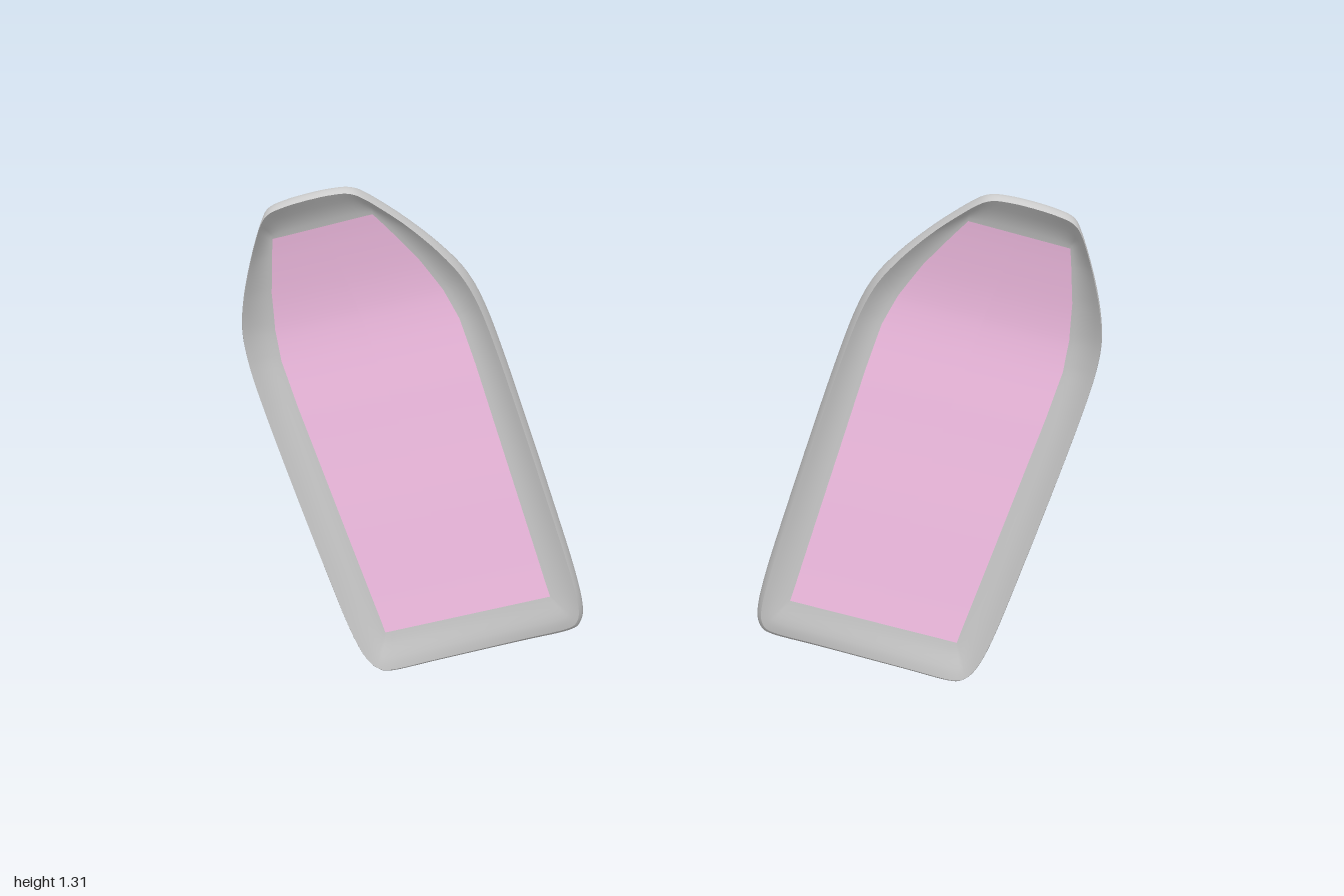
import * as THREE from 'three';

const LEAN = THREE.MathUtils.degToRad(15);
const CENTER_U = 0.445;
const PER_SEGMENT = 6;

// Right half, bottom to top: [rim half width, rim v, pad half width, pad v], v runs along the panel
const profile = [
  [0, 0.183, 0, 0.295], [0.12, 0.183, 0.1, 0.295], [0.23, 0.183, 0.2, 0.295], [0.266, 0.2, 0.216, 0.295],
  [0.286, 0.25, 0.216, 0.33], [0.295, 0.36, 0.217, 0.4], [0.297, 0.56, 0.219, 0.57], [0.297, 0.76, 0.221, 0.76],
  [0.295, 0.95, 0.223, 0.94], [0.289, 1.08, 0.221, 1.06], [0.273, 1.17, 0.207, 1.14], [0.238, 1.25, 0.178, 1.235],
  [0.187, 1.335, 0.14, 1.325], [0.13, 1.415, 0.12, 1.37], [0.097, 1.448, 0.085, 1.37], [0.05, 1.458, 0.045, 1.37],
  [0, 1.46, 0, 1.37],
];
const curve = (pts) => new THREE.SplineCurve(pts.map(([a, b]) => new THREE.Vector2(a, b)));
const mirrored = (half) => [...half, ...half.slice(1, -1).reverse().map((p) => new THREE.Vector2(-p.x, p.y))];

// Smooth rim outline and straight-sided pad outline with matching point counts
const rimOutline = mirrored(curve(profile).getPoints((profile.length - 1) * PER_SEGMENT));
const padOutline = mirrored(profile.flatMap(([, , w, v], i) => {
  const next = profile[i + 1];
  if (!next) return [new THREE.Vector2(w, v)];
  return Array.from({ length: PER_SEGMENT }, (_, k) =>
    new THREE.Vector2(w, v).lerp(new THREE.Vector2(next[2], next[3]), k / PER_SEGMENT));
}));

// Depth of the front rim and the back face along the panel: [v, z]
const heightAlong = (pts) => {
  const samples = curve(pts).getPoints(160);
  return (v) => {
    const i = samples.findIndex((p) => p.x >= v);
    if (i === 0) return samples[0].y;
    if (i < 0) return samples[samples.length - 1].y;
    const a = samples[i - 1], b = samples[i];
    return THREE.MathUtils.mapLinear(v, a.x, b.x, a.y, b.y);
  };
};
const rimZ = heightAlong([[0.18, -0.036], [0.3, -0.014], [0.5, -0.007], [0.75, -0.003], [1.0, 0],
  [1.15, 0.006], [1.31, 0.027], [1.4, 0.052], [1.46, 0.07]]);
const backZ = heightAlong([[0.18, -0.062], [0.3, -0.066], [0.6, -0.066], [0.9, -0.066], [1.08, -0.065],
  [1.185, -0.054], [1.31, -0.026], [1.41, 0.003], [1.46, 0.026]]);

// A ring lies between rim (t 0) and pad outline (t 1); mix runs from the base, a height above the back, to the rim
const ring = (t, mix, base = 0, narrow = 1) => ({ t, mix, base, narrow });

function loft(rings, side) {
  const n = rimOutline.length, pos = [], idx = [];
  const c = Math.cos(LEAN), s = Math.sin(LEAN);
  for (const { t, mix, base, narrow } of rings) {
    rimOutline.forEach((rim, j) => {
      const p = rim.clone().lerp(padOutline[j], t);
      const du = p.x * narrow, u = CENTER_U + du, v = p.y;
      const z = THREE.MathUtils.lerp(backZ(v) + base, rimZ(v) + 0.035 * du, mix);
      pos.push(side * (c * u + s * v), -s * u + c * v, z);
    });
  }
  for (let i = 0; i < rings.length - 1; i++) {
    for (let j = 0; j < n; j++) {
      const k = (j + 1) % n;
      const a = i * n + j, b = (i + 1) * n + j, d = (i + 1) * n + k, e = i * n + k;
      if (side > 0) idx.push(a, b, d, a, d, e);
      else idx.push(a, d, b, a, e, d);
    }
  }
  const geo = new THREE.BufferGeometry();
  geo.setAttribute('position', new THREE.Float32BufferAttribute(pos, 3));
  geo.setIndex(idx);
  geo.computeVertexNormals();
  return geo;
}

const FLOOR = 0.028;
const RIM = 0.1;
// Front border, curving up from the dished floor to the rim
const borderRings = [1, 0.85, 0.7, 0.55, 0.4, 0.25, RIM].map((t) => ring(t, ((1 - t) / (1 - RIM)) ** 2, FLOOR));
// Side wall, rounded back edge and back face; meets the border in a crisp rim
const shellRings = [
  ring(RIM, 1), ring(0.05, 0.85), ring(0.015, 0.6), ring(0, 0.38), ring(0.03, 0.24), ring(0.12, 0.13),
  ring(0.28, 0.06), ring(0.5, 0.02), ring(0.8, 0), ring(1, 0), ring(1, 0, 0, 0.5), ring(1, 0, 0, 0),
];
// Pad: rows across the dished floor
const padRings = [0, 0.35, 0.7, 1].map((narrow) => ring(1, 0, FLOOR, narrow));

export function createModel() {
  const model = new THREE.Group();
  const grey = new THREE.MeshStandardMaterial({ color: 0xcccccc });
  const pink = new THREE.MeshStandardMaterial({ color: 0xfac3ea });
  const parts = [['frontBorder', borderRings, grey], ['panelShell', shellRings, grey], ['frontPad', padRings, pink]];
  for (const side of [1, -1]) {
    const panel = new THREE.Group();
    panel.name = side > 0 ? 'leftPanel' : 'rightPanel';
    for (const [name, rings, material] of parts) {
      const mesh = new THREE.Mesh(loft(rings, side), material);
      mesh.name = name;
      panel.add(mesh);
    }
    model.add(panel);
  }
  return model;
}
